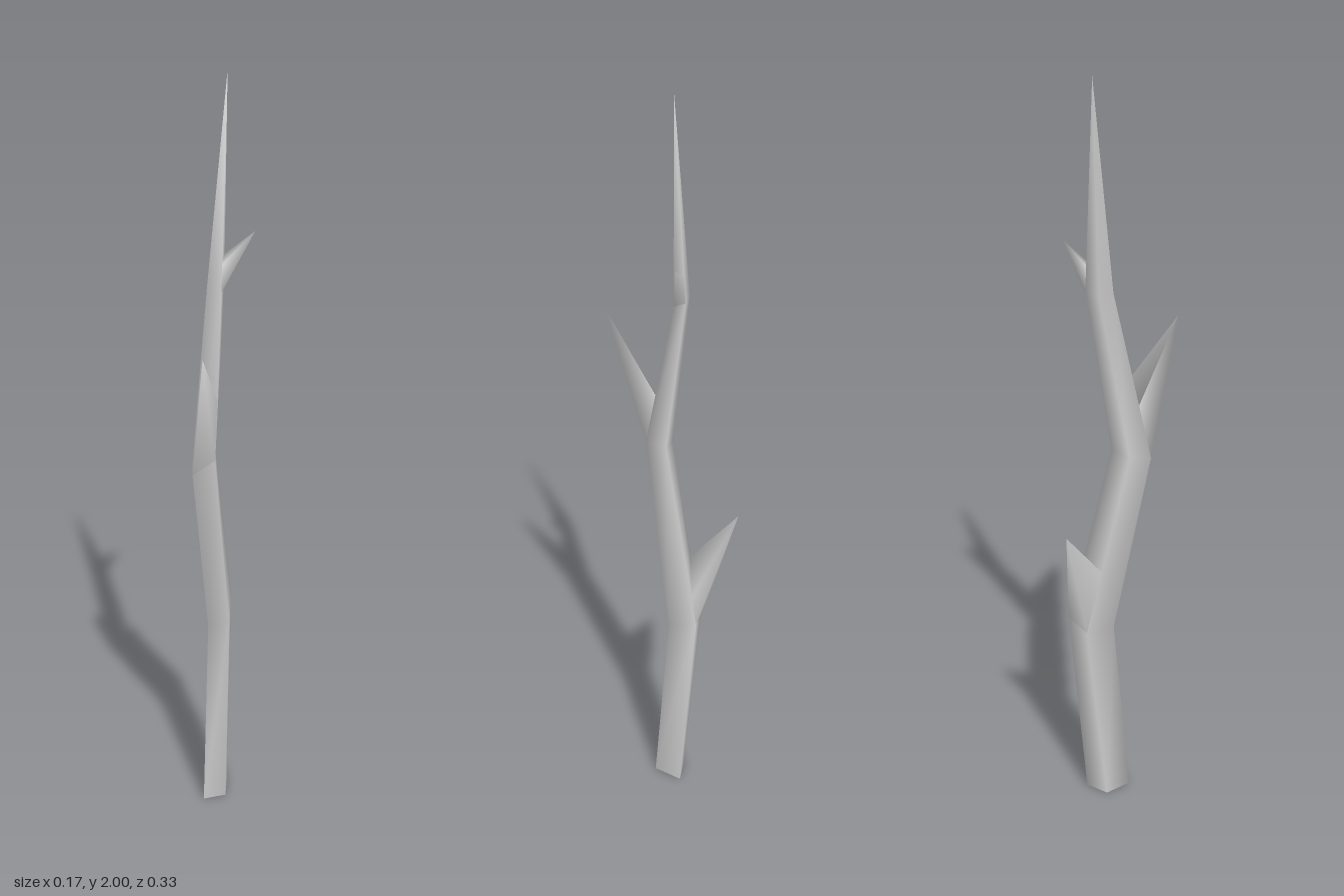
import * as THREE from 'three';

const material = new THREE.MeshStandardMaterial({ color: 0xcccccc });

// Four-cornered sections of the stem, corners in order: left, back, right, front
const rings = [
  [[0.065, 0, -0.015], [0.038, 0, -0.09], [-0.01, 0, -0.045], [0.018, 0, 0.025]],
  [[0.053, 0.53, -0.06], [0.025, 0.57, -0.138], [-0.02, 0.54, -0.1], [0.01, 0.53, -0.02]],
  [[0.052, 1.05, 0.035], [0.03, 1.05, -0.02], [-0.018, 1.04, 0.015], [0.01, 1.02, 0.078]],
  [[0.03, 1.46, -0.05], [0.022, 1.48, -0.085], [-0.01, 1.48, -0.06], [0.005, 1.48, -0.02]],
];
const tip = [0.038, 2, -0.06];

function makeMesh(name, points, index) {
  const geometry = new THREE.BufferGeometry();
  geometry.setAttribute('position', new THREE.Float32BufferAttribute(points.flat(), 3));
  geometry.setIndex(index);
  geometry.computeVertexNormals();
  const mesh = new THREE.Mesh(geometry, material);
  mesh.name = name;
  return mesh;
}

// Pyramid from a closed loop of base points to an apex
function makeSpike(name, base, apex) {
  const n = base.length;
  const index = base.flatMap((_, i) => [i, (i + 1) % n, n]);
  return makeMesh(name, [...base, apex], index);
}

// Bent stem: quads between sections, running out into the pointed top
function makeStem() {
  const index = [];
  const last = rings.length - 1;
  for (let r = 0; r <= last; r++) {
    for (let i = 0; i < 4; i++) {
      const a = r * 4 + i, b = r * 4 + (i + 1) % 4;
      if (r < last) index.push(a, b, b + 4, a, b + 4, a + 4);
      else index.push(a, b, rings.length * 4);
    }
  }
  return makeMesh('stem', [...rings.flat(), tip], index);
}

// Twig growing from one side of the stem, just above a bend;
// riseA and riseB say how far its root climbs the two stem edges
function makeTwig(name, ring, side, riseA, riseB, apex) {
  const climb = (corner, t) => {
    const next = rings[ring + 1] ? rings[ring + 1][corner] : tip;
    return rings[ring][corner].map((v, k) => v + (next[k] - v) * t);
  };
  const a = side, b = (side + 1) % 4;
  return makeSpike(name, [climb(a, 0), climb(b, 0), climb(b, riseB), climb(a, riseA)], apex);
}

export function createModel() {
  const group = new THREE.Group();
  group.name = 'branch';
  group.add(
    makeStem(),
    makeMesh('cutEnd', rings[0], [0, 2, 1, 0, 3, 2]),
    makeTwig('lowerTwig', 1, 1, 0.15, 0.36, [-0.087, 0.875, -0.165]),
    makeTwig('middleTwig', 2, 3, 0.33, 0.36, [0.075, 1.375, 0.163]),
    makeTwig('upperTwig', 3, 0, 0.13, 0.13, [0.085, 1.6, -0.127]),
  );
  return group;
}
